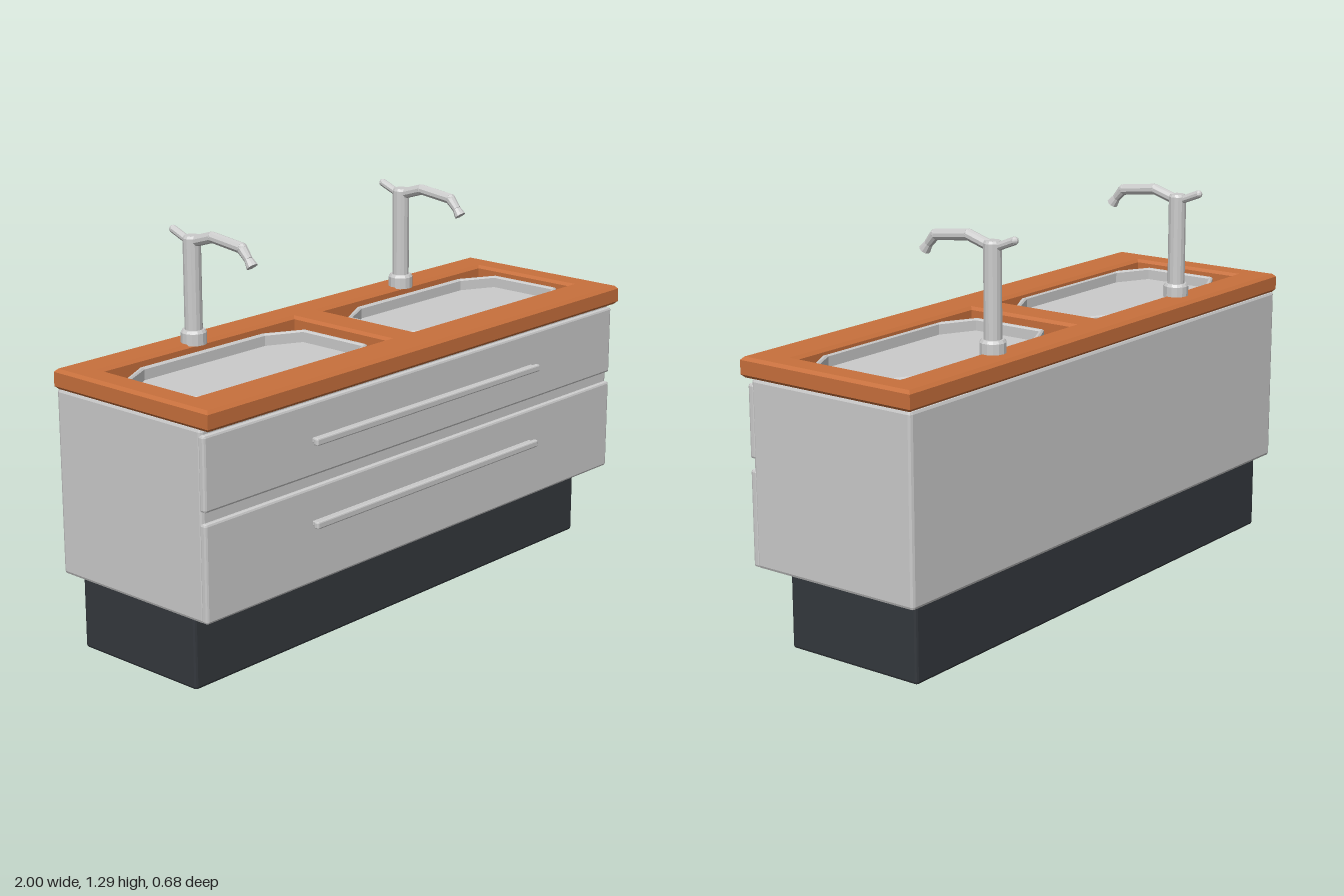
import * as THREE from 'three';
import { RoundedBoxGeometry } from 'three/addons/geometries/RoundedBoxGeometry.js';

const material = (color) => new THREE.MeshStandardMaterial({ color, flatShading: true });
const grey = material(0xcccccc);
const wood = material(0xc8703c);
const dark = material(0x34383d);

function add(parent, name, geometry, mat) {
  const mesh = new THREE.Mesh(geometry, mat);
  mesh.name = name;
  parent.add(mesh);
  return mesh;
}

// Chamfered box given by its limits on each axis
function block(parent, name, [x0, x1], [y0, y1], [z0, z1], chamfer, mat) {
  const geometry = new RoundedBoxGeometry(x1 - x0, y1 - y0, z1 - z0, 1, chamfer);
  geometry.translate((x0 + x1) / 2, (y0 + y1) / 2, (z0 + z1) / 2);
  return add(parent, name, geometry, mat);
}

// Round rod between two points, optionally tapered
function rod(parent, name, a, b, r0, r1 = r0, sides = 10) {
  const start = new THREE.Vector3(...a);
  const along = new THREE.Vector3(...b).sub(start);
  const length = along.length();
  const geometry = new THREE.CylinderGeometry(r1, r0, length, sides).translate(0, length / 2, 0);
  const mesh = add(parent, name, geometry, grey);
  mesh.quaternion.setFromUnitVectors(new THREE.Vector3(0, 1, 0), along.normalize());
  mesh.position.copy(start);
  return mesh;
}

const points = (list) => list.map(([x, z]) => new THREE.Vector2(x, -z));

// Horizontal slab from a plan outline, with chamfered edges
function slab(shape, y0, y1, chamfer) {
  const geometry = new THREE.ExtrudeGeometry(shape, {
    depth: y1 - y0 - 2 * chamfer,
    bevelSize: chamfer,
    bevelThickness: chamfer,
    bevelOffset: -chamfer,
    bevelSegments: 1,
  });
  return geometry.rotateX(-Math.PI / 2).translate(0, y0 + chamfer, 0);
}

const rectangle = (x0, x1, z0, z1) => points([[x0, z0], [x0, z1], [x1, z1], [x1, z0]]);

// Long octagon of the basin, shrunk by an inset
function octagon(inset) {
  const w = 0.4 - inset, d = 0.205 - inset;
  const cw = 0.27 - inset * 0.3, cd = 0.135 - inset * 0.4;
  return points([[-cw, -d], [-w, -cd], [-w, cd], [-cw, d], [cw, d], [w, cd], [w, -cd], [cw, -d]]);
}

// Octagonal basin: rim wall and floor
function makeBasin(x) {
  const basin = new THREE.Group();
  basin.name = 'basin';
  const rim = new THREE.Shape(octagon(0));
  rim.holes.push(new THREE.Path(octagon(0.018)));
  add(basin, 'basinRim', slab(rim, 0.85, 0.9, 0.005), grey);
  const floor = new THREE.ShapeGeometry(new THREE.Shape(octagon(0.01)));
  add(basin, 'basinFloor', floor.rotateX(-Math.PI / 2).translate(0, 0.861, 0), grey);
  basin.position.x = x;
  return basin;
}

// Tap: collar, column, bent spout and rear lever
function makeTap(x) {
  const tap = new THREE.Group();
  tap.name = 'tap';
  const z = -0.242;
  const collar = [[0, 0.915], [0.042, 0.915], [0.042, 0.953], [0.036, 0.962], [0, 0.962]];
  const column = [[0, 0.95], [0.029, 0.95], [0.029, 1.256], [0.024, 1.264], [0, 1.264]];
  for (const [name, profile] of [['tapCollar', collar], ['tapColumn', column]]) {
    const lathe = new THREE.LatheGeometry(profile.map((p) => new THREE.Vector2(...p)), 14);
    add(tap, name, lathe, grey).position.z = z;
  }
  const path = [[0, 1.245, -0.235], [0, 1.271, -0.15], [0, 1.256, -0.022], [0, 1.225, 0.006]];
  for (let i = 0; i < path.length - 1; i++) {
    rod(tap, 'spout', path[i], path[i + 1], 0.018, i === 2 ? 0.014 : 0.018);
    if (i > 0) add(tap, 'spoutJoint', new THREE.SphereGeometry(0.018, 10, 6), grey).position.set(...path[i]);
  }
  rod(tap, 'spoutNozzle', path[3], [0, 1.204, 0.022], 0.014, 0.019);
  rod(tap, 'lever', [0, 1.242, -0.25], [0, 1.272, -0.325], 0.013);
  add(tap, 'leverTip', new THREE.SphereGeometry(0.013, 10, 6), grey).position.set(0, 1.272, -0.325);
  tap.position.x = x;
  return tap;
}

export function createModel() {
  const model = new THREE.Group();
  model.name = 'doubleVanity';

  // Plinth and cabinet
  block(model, 'plinth', [-0.945, 0.945], [0, 0.258], [-0.3, 0.2], 0.009, dark);
  block(model, 'cabinet', [-0.995, 0.995], [0.255, 0.858], [-0.332, 0.293], 0.011, grey);

  // Drawer fronts, each with a long pull
  for (const [y0, y1, pullY] of [[0.257, 0.57, 0.453], [0.604, 0.84, 0.72]]) {
    block(model, 'drawerFront', [-0.995, 0.995], [y0, y1], [0.28, 0.307], 0.008, grey);
    block(model, 'drawerPull', [-0.55, 0.55], [pullY - 0.012, pullY + 0.012], [0.319, 0.338], 0.005, grey);
    block(model, 'pullMount', [-0.54, 0.54], [pullY - 0.008, pullY + 0.008], [0.3, 0.325], 0.003, grey);
  }

  // Countertop frame with two openings
  const top = new THREE.Shape(rectangle(-1, 1, -0.335, 0.33));
  for (const [x0, x1] of [[-0.91, -0.06], [0.06, 0.91]]) {
    top.holes.push(new THREE.Path(rectangle(x0, x1, -0.222, 0.192)));
  }
  add(model, 'countertop', slab(top, 0.855, 0.92, 0.01), wood);

  for (const x of [-0.5, 0.5]) model.add(makeBasin(x), makeTap(x));
  return model;
}
